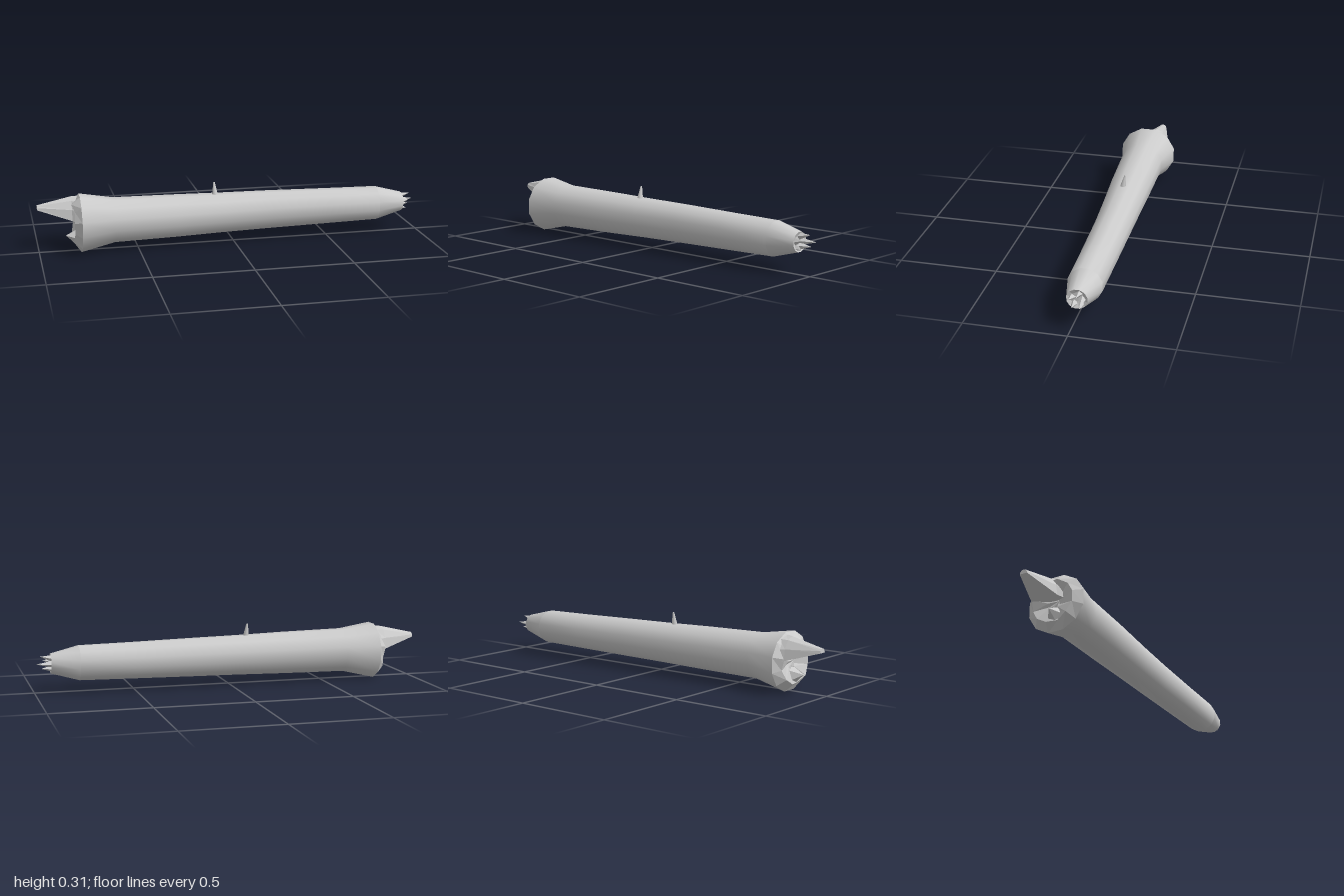
import * as THREE from 'three';

const grey = (flat) => new THREE.MeshStandardMaterial({ color: 0xcccccc, flatShading: flat, side: THREE.DoubleSide });

// Skin closed cross-sections ordered by rising x; each is a list of [x, y, z]
function loft(sections, capStart = false, capEnd = false) {
  const n = sections[0].length, index = [];
  for (let i = 0; i < sections.length - 1; i++) {
    for (let j = 0; j < n; j++) {
      const a = i * n + j, b = i * n + (j + 1) % n;
      index.push(a, a + n, b, b, a + n, b + n);
    }
  }
  const last = (sections.length - 1) * n;
  for (let j = 1; j < n - 1; j++) {
    if (capStart) index.push(0, j, j + 1);
    if (capEnd) index.push(last, last + j + 1, last + j);
  }
  const g = new THREE.BufferGeometry();
  g.setAttribute('position', new THREE.Float32BufferAttribute(sections.flat(2), 3));
  g.setIndex(index);
  g.computeVertexNormals();
  return g;
}

// Twelve-sided ring across the log; ragged pushes alternate corners along x
function ring([x, cy, cz, ry, rz], ragged = 0) {
  return Array.from({ length: 12 }, (_, j) => {
    const a = (j + 0.5) * Math.PI / 6;
    return [x + ragged * Math.sin(j * 2.3), cy + ry * Math.sin(a), cz + rz * Math.cos(a)];
  });
}

// Arched section with a flat underside
function arch([x, y, cz, height, halfWidth]) {
  return Array.from({ length: 7 }, (_, j) => {
    const a = j * Math.PI / 6;
    return [x, y + height * Math.sin(a), cz + halfWidth * Math.cos(a)];
  });
}

// Tapered spike from a base point to a tip point
function spike(base, tip, r, sides, tipR = 0) {
  const from = new THREE.Vector3(...base), dir = new THREE.Vector3(...tip).sub(from);
  const len = dir.length();
  const g = new THREE.CylinderGeometry(tipR, r, len, sides);
  g.translate(0, len / 2, 0);
  g.applyQuaternion(new THREE.Quaternion().setFromUnitVectors(new THREE.Vector3(0, 1, 0), dir.normalize()));
  return g.translate(...base);
}

export function createModel() {
  const group = new THREE.Group();
  const add = (name, geometry, flat = true) => {
    const mesh = new THREE.Mesh(geometry, grey(flat));
    mesh.name = name;
    group.add(mesh);
  };

  // Slightly bent trunk: x, centre y, centre z, radius y, radius z
  const butt = [-0.79, 0.145, 0, 0.148, 0.154];
  const shoulder = [0.78, 0.15, -0.028, 0.088, 0.086];
  const neck = [0.92, 0.152, -0.025, 0.05, 0.051];
  add('trunk', loft([
    butt,
    [-0.62, 0.151, 0.002, 0.114, 0.116],
    [-0.3, 0.151, -0.006, 0.109, 0.109],
    [-0.05, 0.151, -0.014, 0.103, 0.1],
    [0.2, 0.151, -0.021, 0.099, 0.093],
    [0.5, 0.15, -0.025, 0.093, 0.089],
    shoulder,
  ].map((r) => ring(r))), false);
  add('taperedEnd', loft([ring(shoulder), ring(neck)]), false);

  // Broken thick end: bevelled rim around a shallow hollow
  add('brokenButt', loft([
    ring([-0.8, 0.14, -0.005, 0.03, 0.03], 0.005),
    ring([-0.825, 0.145, 0, 0.108, 0.112], 0.008),
    ring(butt),
  ].slice(1)));
  add('buttHollow', loft([
    ring([-0.825, 0.145, 0, 0.108, 0.112], 0.008),
    ring([-0.8, 0.14, -0.005, 0.03, 0.03], 0.005),
  ], false, true));
  add('largeSplinter', loft([
    [-1, 0.215, -0.045, 0.022, 0.02],
    [-0.83, 0.165, -0.04, 0.11, 0.072],
    [-0.785, 0.15, -0.03, 0.13, 0.1],
  ].map(arch), true, true));
  add('buttSpike', spike([-0.79, 0.075, 0.005], [-0.865, 0.085, 0.01], 0.055, 5));

  // Broken thin end: recessed cap with a crown of splinters
  add('thinEndCap', loft([ring(neck), ring([0.91, 0.152, -0.025, 0.03, 0.03])], false, true));
  [
    [[0.905, 0.178, -0.035], [0.972, 0.19, -0.035]],
    [[0.905, 0.152, -0.048], [0.995, 0.155, -0.055]],
    [[0.905, 0.13, -0.04], [0.97, 0.131, -0.05]],
    [[0.905, 0.127, -0.012], [0.945, 0.118, -0.005]],
    [[0.905, 0.155, -0.002], [0.955, 0.165, 0.006]],
  ].forEach(([base, tip]) => add('endSplinter', spike(base, tip, 0.019, 4)));

  // Little broken twig on top
  add('twigStub', spike([-0.093, 0.24, -0.008], [-0.096, 0.313, -0.021], 0.017, 7, 0.004), false);

  return group;
}
